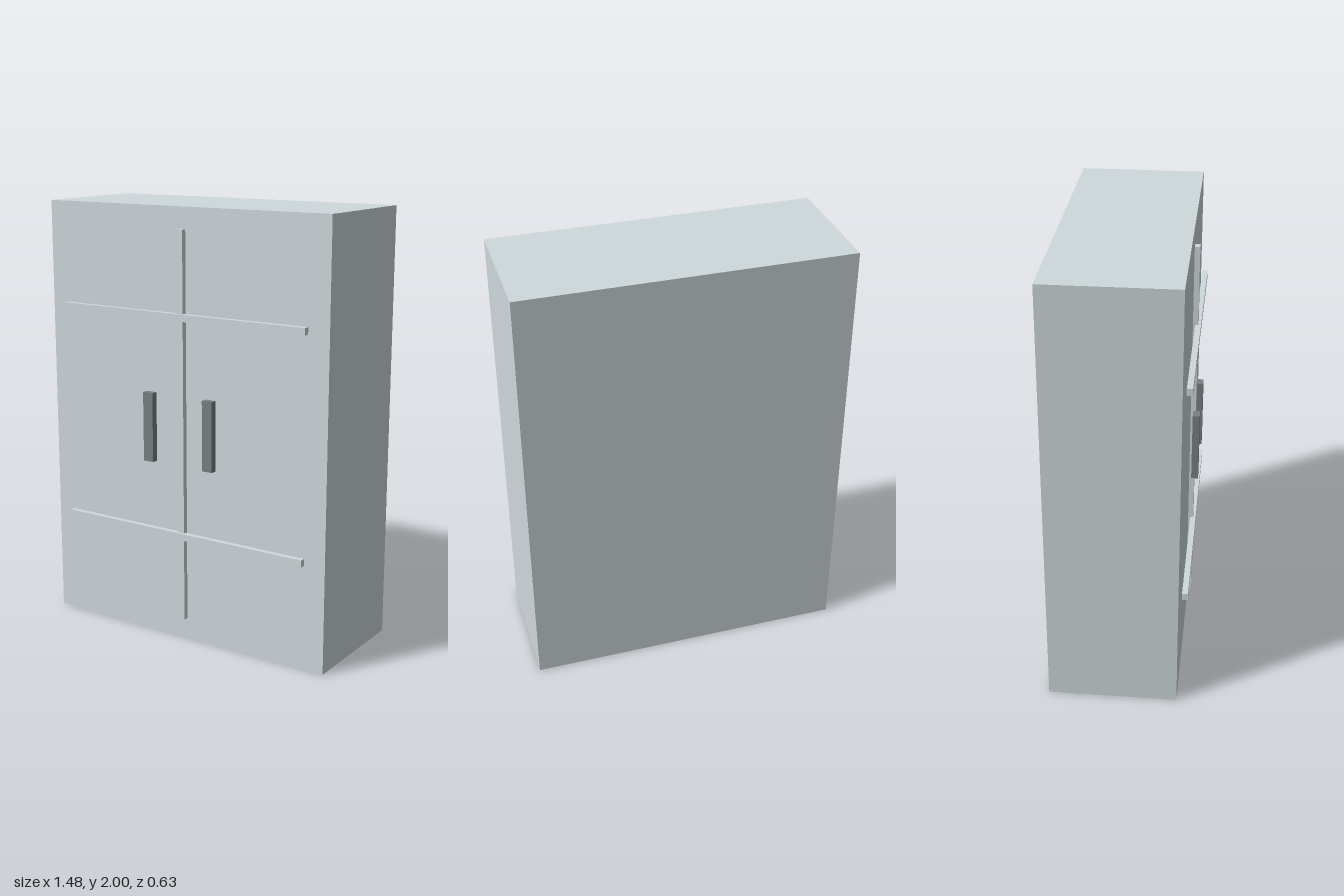
import * as THREE from 'three';

export function createModel() {
  const group = new THREE.Group();

  const bodyGrey = new THREE.MeshStandardMaterial({ color: 0xcfd9dc });
  bodyGrey.name = 'pale blue grey';
  const handleGrey = new THREE.MeshStandardMaterial({ color: 0x788083 });
  handleGrey.name = 'handle mid grey';

  // Adds a named box of the given size, centred at the given position
  function addBox(name, material, [w, h, d], [x, y, z]) {
    const mesh = new THREE.Mesh(new THREE.BoxGeometry(w, h, d), material);
    mesh.name = name;
    mesh.position.set(x, y, z);
    group.add(mesh);
  }

  // Cabinet body
  addBox('cabinetBody', bodyGrey, [1.48, 2, 0.582], [0, 1, -0.024]);

  // Upright strip between the two doors
  addBox('doorDivider', bodyGrey, [0.036, 1.804, 0.026], [0, 1, 0.278]);

  // Horizontal rails standing just proud of the doors
  addBox('upperRail', bodyGrey, [1.286, 0.032, 0.026], [0, 1.518, 0.29]);
  addBox('lowerRail', bodyGrey, [1.286, 0.032, 0.026], [0, 0.505, 0.29]);

  // Mirrored pair of door handles
  for (const side of [-1, 1]) {
    addBox(side > 0 ? 'leftHandle' : 'rightHandle', handleGrey,
      [0.052, 0.322, 0.031], [side * 0.161, 1.003, 0.2995]);
  }

  return group;
}
